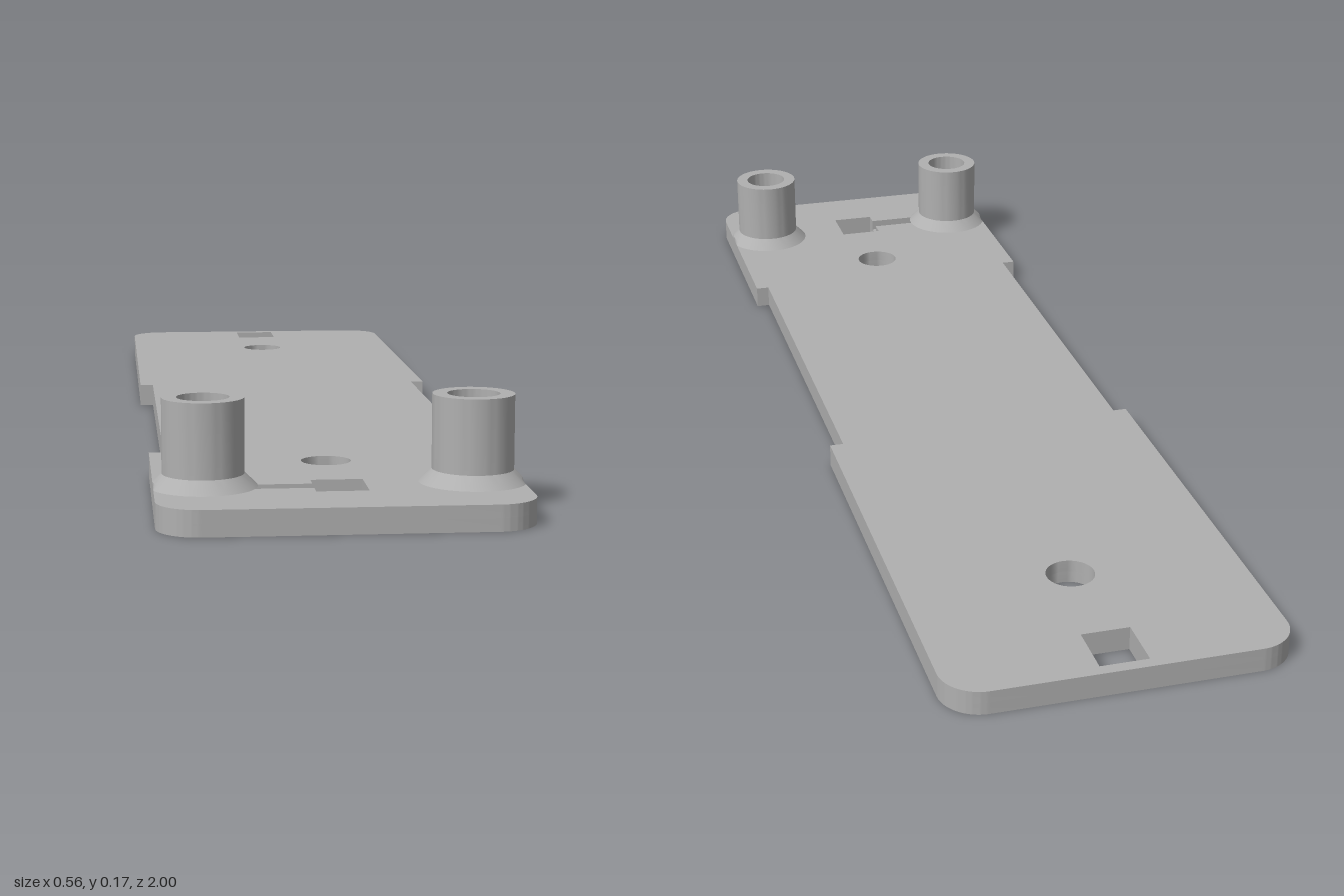
import * as THREE from 'three';
import { toCreasedNormals } from 'three/addons/utils/BufferGeometryUtils.js';

const W = 0.28, NECK = 0.256, R = 0.065, T = 0.04, GROOVE_Y = 0.02;

// Plate outline with rounded corners and a narrower waist (shape y = -z)
function plateOutline() {
  const s = new THREE.Shape();
  s.moveTo(-W + R, -1);
  s.lineTo(W - R, -1);
  s.absarc(W - R, -1 + R, R, -Math.PI / 2, 0);
  s.lineTo(W, -0.547);
  s.lineTo(NECK, -0.547);
  s.lineTo(NECK, 0.183);
  s.lineTo(W, 0.183);
  s.lineTo(W, 1 - R);
  s.absarc(W - R, 1 - R, R, 0, Math.PI / 2);
  s.lineTo(-W + R, 1);
  s.absarc(-W + R, 1 - R, R, Math.PI / 2, Math.PI);
  s.lineTo(-W, 0.183);
  s.lineTo(-NECK, 0.183);
  s.lineTo(-NECK, -0.547);
  s.lineTo(-W, -0.547);
  s.lineTo(-W, -1 + R);
  s.absarc(-W + R, -1 + R, R, Math.PI, Math.PI * 1.5);
  return s;
}

const polyPath = (pts) => new THREE.Path(pts.map(([x, z]) => new THREE.Vector2(x, -z)));

// One layer of the plate; the upper layer has the wire groove cut in it
function plateLayer(y0, y1, grooved) {
  const s = plateOutline();
  for (const z of [-0.715, 0.64]) s.holes.push(new THREE.Path().absarc(0, -z, 0.04, 0, Math.PI * 2, true));
  s.holes.push(polyPath([[-0.04, -0.98], [0.04, -0.98], [0.04, -0.89], [-0.04, -0.89]]));
  const slot = [[-0.04, 0.795], [0.04, 0.795], [0.04, 0.883], [-0.04, 0.883]];
  if (grooved) slot.push([-0.04, 0.856], [-0.135, 0.856], [-0.135, 0.824], [-0.04, 0.824]);
  s.holes.push(polyPath(slot));
  const g = new THREE.ExtrudeGeometry(s, { depth: y1 - y0, bevelEnabled: false, curveSegments: 16 });
  g.rotateX(-Math.PI / 2).translate(0, y0, 0);
  return toCreasedNormals(g, 0.6);
}

// Hollow post with a flared foot, trimmed flush with the plate's side
function postGeometry(cx) {
  const profile = [
    [0.0825, T], [0.0755, 0.047], [0.0625, 0.06], [0.0625, 0.175],
    [0.04, 0.175], [0.04, T + 0.001], [0, T + 0.001],
  ].map(([r, y]) => new THREE.Vector2(r, y));
  const g = new THREE.LatheGeometry(profile, 48);
  g.translate(cx, 0, 0.825);
  const p = g.attributes.position;
  for (let i = 0; i < p.count; i++) p.setX(i, THREE.MathUtils.clamp(p.getX(i), -W, W));
  return toCreasedNormals(g, 0.5);
}

export function createModel() {
  const grey = new THREE.MeshStandardMaterial({ color: 0xb0b0b0, side: THREE.DoubleSide });
  grey.name = 'grey';
  const model = new THREE.Group();
  model.name = 'mountingPlate';
  const add = (name, geometry) => {
    const m = new THREE.Mesh(geometry, grey);
    m.name = name;
    model.add(m);
  };
  add('plateLower', plateLayer(0, GROOVE_Y, false));
  add('plateUpper', plateLayer(GROOVE_Y, T, true));
  add('leftPost', postGeometry(0.2045));
  add('rightPost', postGeometry(-0.2045));
  return model;
}
